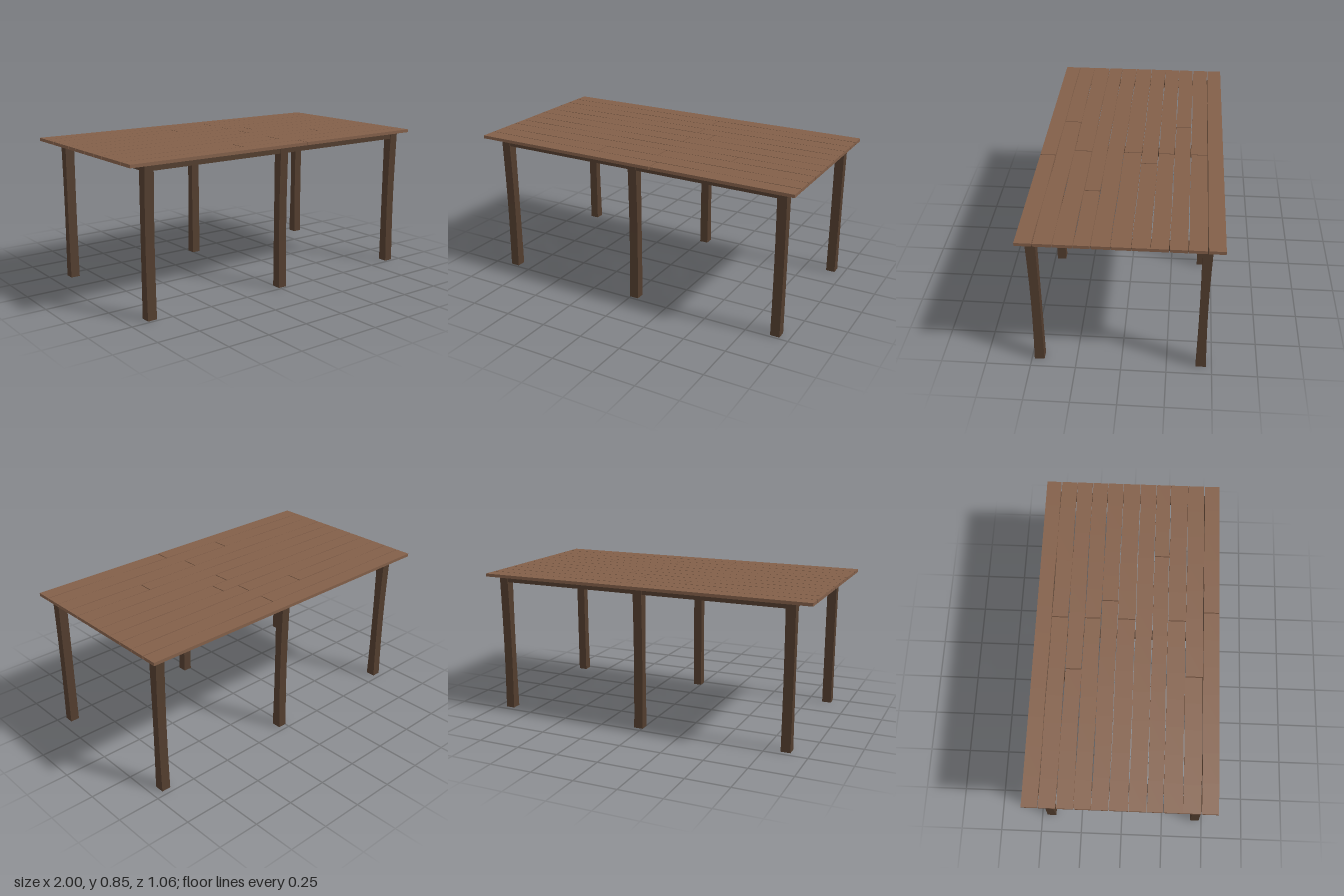
import * as THREE from 'three';

const topMat = new THREE.MeshStandardMaterial({ color: 0x825f49, flatShading: true });
const legMat = new THREE.MeshStandardMaterial({ color: 0x523d2e, flatShading: true });

const TOP_Y = 0.853, UNDER_Y = 0.835, RAIL_Y = 0.797;

let seed = 7;
const rand = () => (seed = (seed * 16807) % 2147483647) / 2147483647;

// Box given by its limits on each axis
function box(name, mat, [x0, x1], [y0, y1], [z0, z1], sx = 1, sy = 1) {
  const geo = new THREE.BoxGeometry(x1 - x0, y1 - y0, z1 - z0, sx, sy, 1);
  geo.translate((x0 + x1) / 2, (y0 + y1) / 2, (z0 + z1) / 2);
  const mesh = new THREE.Mesh(geo, mat);
  mesh.name = name;
  return mesh;
}

// Moves every vertex by a rule
function warp(mesh, rule) {
  const p = mesh.geometry.attributes.position;
  const v = new THREE.Vector3();
  for (let i = 0; i < p.count; i++) {
    rule(v.fromBufferAttribute(p, i));
    p.setXYZ(i, v.x, v.y, v.z);
  }
  mesh.geometry.computeVertexNormals();
  return mesh;
}

// Board with slightly uneven long edges, so the seams open and close
function plank(x0, x1, z0, z1) {
  const mid = (z0 + z1) / 2;
  const phase = rand() * 6.28, amount = 0.0015;
  const segments = Math.max(2, Math.round((x1 - x0) * 6));
  return warp(box('plank', topMat, [x0, x1], [UNDER_Y, TOP_Y], [z0, z1], segments), (v) => {
    if (Math.abs(mid) > 0.45 && Math.sign(v.z - mid) === Math.sign(mid)) return; // straight outer edge
    v.z += Math.sign(v.z - mid) * amount * Math.sin(v.x * 9 + phase + (v.z > mid ? 2 : 0));
  });
}

export function createModel() {
  const model = new THREE.Group();
  model.name = 'table';

  // Table top: rows of boards, each cut by a butt joint
  const top = new THREE.Group();
  top.name = 'tableTop';
  const seams = [-0.529, -0.44, -0.343, -0.249, -0.155, -0.06, 0.044, 0.142, 0.23, 0.334, 0.435, 0.526];
  const joints = [null, 0.103, -0.212, 0.103, 0.216, 0.103, null, 0.512, 0.103, -0.235, 0.16];
  const gap = 0.0018;
  joints.forEach((joint, i) => {
    const z0 = seams[i] + (i ? gap : 0);
    const z1 = seams[i + 1] - (i < joints.length - 1 ? gap : 0);
    if (joint === null) {
      top.add(plank(-1, 1, z0, z1));
    } else {
      top.add(plank(-1, joint - 0.003, z0, z1));
      top.add(plank(joint + 0.003, 1, z0, z1));
    }
  });
  model.add(top);

  // Six legs, waisted slightly at mid height
  const legX = [[-0.895, -0.84], [-0.003, 0.05], [0.891, 0.945]];
  const legZ = [[0.43, 0.485], [-0.469, -0.413]];
  const legs = new THREE.Group();
  legs.name = 'legs';
  for (const x of legX) {
    for (const z of legZ) {
      const mid = (z[0] + z[1]) / 2;
      legs.add(warp(box('leg', legMat, x, [0, UNDER_Y], z, 1, 6), (v) => {
        const waist = 0.008 * Math.sin((Math.PI * v.y) / UNDER_Y);
        if (v.z > mid === mid > 0) v.z -= Math.sign(mid) * waist;
        else if (mid < 0) v.z -= waist * 0.6;
      }));
    }
  }
  model.add(legs);

  // Rails under the top, along both sides and across each leg pair
  const rails = new THREE.Group();
  rails.name = 'rails';
  for (const z of legZ) {
    for (let i = 0; i < 2; i++) {
      rails.add(box('sideRail', legMat, [legX[i][1], legX[i + 1][0]], [RAIL_Y, UNDER_Y], [z[0] + 0.006, z[1] - 0.006]));
    }
  }
  for (const x of legX) {
    rails.add(box('crossRail', legMat, [x[0] + 0.006, x[1] - 0.006], [RAIL_Y, UNDER_Y], [legZ[1][1], legZ[0][0]]));
  }
  model.add(rails);

  return model;
}
